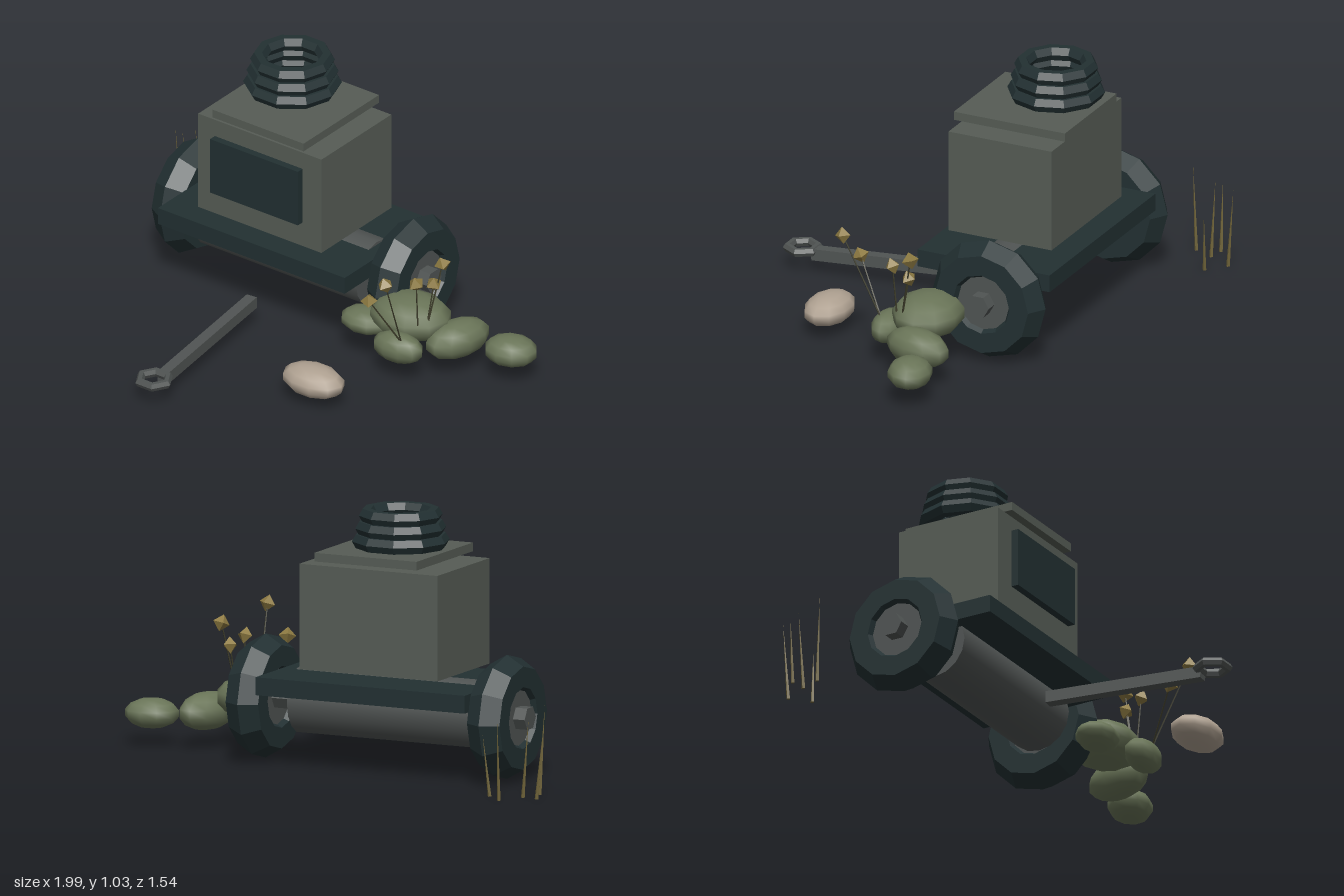
import * as THREE from 'three';

const flat = (name, color) => {
  const m = new THREE.MeshStandardMaterial({ color });
  m.name = name;
  return m;
};

export function createModel() {
  const model = new THREE.Group();
  model.name = 'rustedRoller';

  const darkIron = flat('darkIron', 0x223032);
  const panel = flat('greyPanel', 0x565c55);
  const steel = flat('steel', 0x505453);
  const moss = flat('moss', 0x6a7558);
  const stone = flat('paleStone', 0xb0a292);
  const straw = flat('straw', 0x8e7b42);
  const stalk = flat('stalk', 0x3b3a28);
  const grass = flat('dryGrass', 0x6e6238);

  const add = (name, geometry, material, x, y, z, parent = model) => {
    const mesh = new THREE.Mesh(geometry, material);
    mesh.name = name;
    mesh.position.set(x, y, z);
    parent.add(mesh);
    return mesh;
  };
  const faceted = (geometry) => {
    const g = geometry.toNonIndexed();
    g.computeVertexNormals();
    return g;
  };
  // Box given by its minimum and maximum corners
  const box = (name, material, a, b) =>
    add(name, new THREE.BoxGeometry(b[0] - a[0], b[1] - a[1], b[2] - a[2]), material,
      (a[0] + b[0]) / 2, (a[1] + b[1]) / 2, (a[2] + b[2]) / 2);
  // Tapered rod between two points
  const rod = (name, material, a, b, r0, r1, sides) => {
    const from = new THREE.Vector3(...a);
    const dir = new THREE.Vector3(...b).sub(from);
    const mid = from.clone().addScaledVector(dir, 0.5);
    const mesh = add(name, faceted(new THREE.CylinderGeometry(r1, r0, dir.length(), sides)),
      material, mid.x, mid.y, mid.z);
    mesh.quaternion.setFromUnitVectors(new THREE.Vector3(0, 1, 0), dir.normalize());
    return mesh;
  };

  // Chassis and cabinet
  const cx = -0.157;
  box('deck', darkIron, [-0.61, 0.29, -0.565], [0.295, 0.36, 0.005]);
  box('cabinet', panel, [-0.457, 0.393, -0.495], [0.14, 0.806, -0.05]);
  box('frontPanel', darkIron, [-0.37, 0.503, -0.042], [0.055, 0.74, -0.012]);
  box('lid', panel, [-0.377, 0.824, -0.515], [0.065, 0.858, -0.035]);

  // Drum whose crown shows through the deck
  add('drum', new THREE.CylinderGeometry(0.134, 0.134, 0.785, 16), steel, cx, 0.238, -0.28)
    .rotation.z = Math.PI / 2;

  // Stacked rings on the lid
  [[0.160, 0.902], [0.147, 0.952], [0.133, 1.002]].forEach(([r, y]) => {
    add('stackRing', faceted(new THREE.TorusGeometry(r, 0.031, 6, 10)), darkIron, -0.217, y, -0.335)
      .rotation.x = Math.PI / 2;
  });

  // Axle and two wheels
  add('axle', faceted(new THREE.CylinderGeometry(0.048, 0.048, 1.245, 6)), steel, cx, 0.25, -0.34)
    .rotation.z = Math.PI / 2;
  for (const side of [-1, 1]) {
    const wheel = new THREE.Group();
    wheel.name = side > 0 ? 'leftWheel' : 'rightWheel';
    wheel.position.set(cx + side * 0.522, 0.248, -0.34);
    model.add(wheel);
    add('tyre', faceted(new THREE.TorusGeometry(0.162, 0.081, 6, 12)), darkIron, 0, 0, 0, wheel)
      .rotation.y = Math.PI / 2;
    add('hub', faceted(new THREE.CylinderGeometry(0.135, 0.135, 0.1, 12)), steel, 0, 0, 0, wheel)
      .rotation.z = Math.PI / 2;
  }

  // Loose drawbar with an eye at its end
  const bar = add('drawbar', new THREE.BoxGeometry(0.045, 0.047, 0.66), steel, -0.128, 0.087, 0.325);
  bar.rotation.set(0.035, 0.1, 0, 'YXZ');
  add('drawbarEye', faceted(new THREE.TorusGeometry(0.06, 0.018, 6, 6)), steel, -0.1, 0.088, 0.7)
    .rotation.x = Math.PI / 2;

  // Mossy mounds: centre, radii, turn
  [
    [0.50, 0.20, -0.145, 0.17, 0.085, 0.14, 0.1],
    [0.34, 0.155, -0.08, 0.11, 0.05, 0.085, 0.2],
    [0.55, 0.14, 0.0, 0.11, 0.062, 0.065, 0.1],
    [0.69, 0.14, -0.195, 0.085, 0.075, 0.145, -0.25],
    [0.895, 0.125, -0.265, 0.108, 0.06, 0.088, 0.3],
  ].forEach(([x, y, z, a, b, c, turn]) => {
    const mound = add('mossMound', new THREE.SphereGeometry(1, 10, 7), moss, x, y, z);
    mound.scale.set(a, b, c);
    mound.rotation.y = turn;
  });
  add('pebble', new THREE.SphereGeometry(1, 10, 7), stone, 0.395, 0.092, 0.335)
    .scale.set(0.138, 0.06, 0.092);

  // Seed heads on thin stalks: foot, head
  [
    [[0.58, 0.18, 0.02], [0.615, 0.51, 0.167]],
    [[0.62, 0.21, -0.09], [0.655, 0.478, -0.145]],
    [[0.60, 0.21, -0.06], [0.605, 0.418, -0.043]],
    [[0.58, 0.18, 0.02], [0.515, 0.395, 0.14]],
    [[0.62, 0.21, -0.09], [0.628, 0.39, -0.125]],
  ].forEach(([foot, head], i) => {
    rod('stalk', stalk, foot, head, 0.004, 0.003, 4);
    add('seedHead', new THREE.OctahedronGeometry(0.034), straw, ...head).rotation.set(0.2, i * 0.7, 0.2);
  });

  // Dry grass blades: foot, tip
  [
    [[-0.972, 0, -0.665], [-0.998, 0.27, -0.66]],
    [[-0.94, 0, -0.575], [-0.952, 0.35, -0.555]],
    [[-0.908, 0, -0.655], [-0.935, 0.31, -0.66]],
    [[-0.855, 0, -0.755], [-0.858, 0.32, -0.776]],
    [[-0.782, 0, -0.69], [-0.757, 0.24, -0.70]],
  ].forEach(([foot, tip]) => rod('grassBlade', grass, foot, tip, 0.008, 0, 4));

  return model;
}
